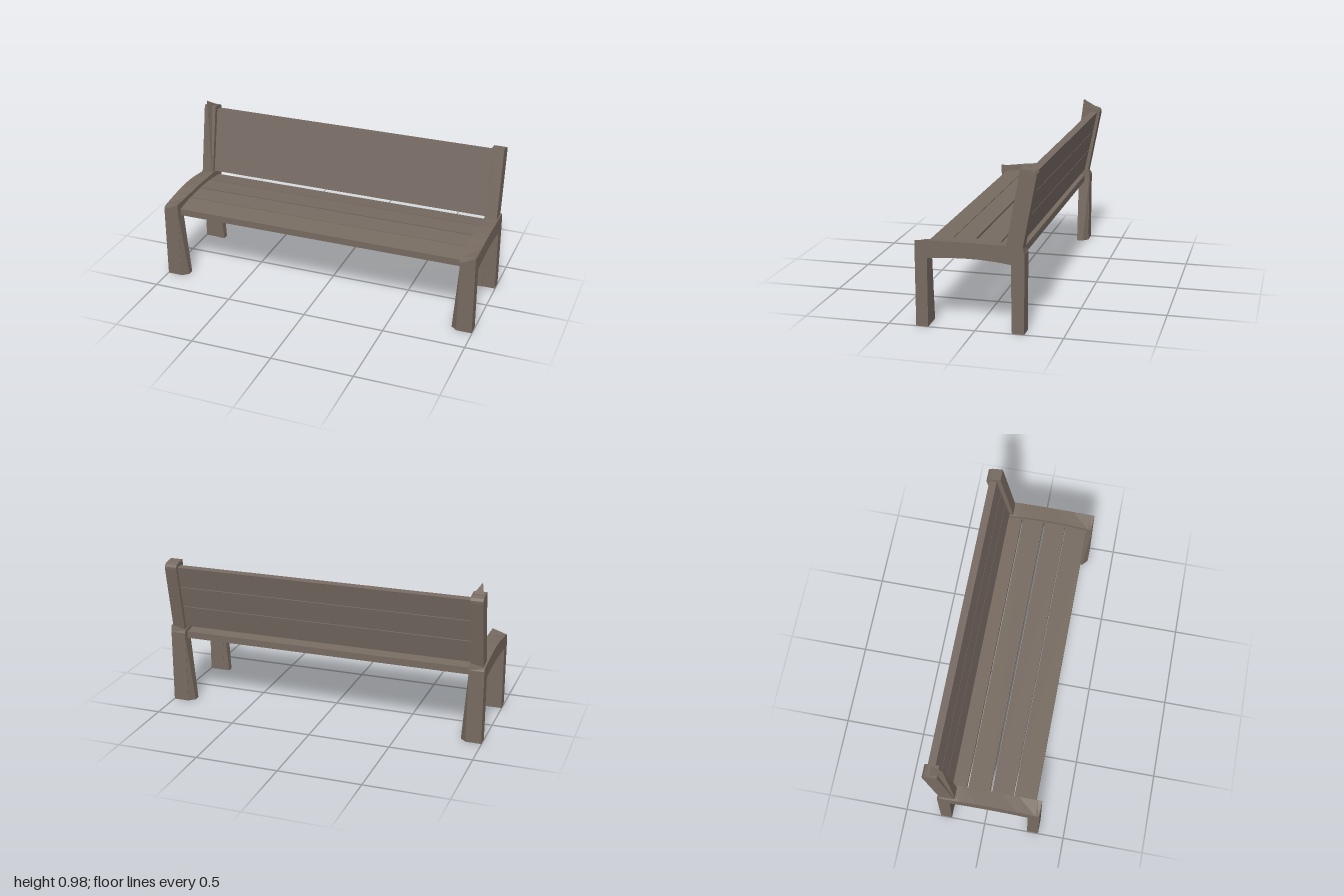
import * as THREE from 'three';
import { ConvexGeometry } from 'three/addons/geometries/ConvexGeometry.js';

const frameMat = new THREE.MeshStandardMaterial({ color: 0x776b61 });
frameMat.name = 'frame brown';
const backMat = new THREE.MeshStandardMaterial({ color: 0x776a63 });
backMat.name = 'backrest brown';

const V = (x, y, z) => new THREE.Vector3(x, y, z);

function addMesh(group, name, geometry, material = frameMat) {
  const mesh = new THREE.Mesh(geometry, material);
  mesh.name = name;
  group.add(mesh);
}

// Convex bar: a [z, y] profile stretched between two x positions
const bar = (profile, x0, x1) =>
  new ConvexGeometry(profile.flatMap(([z, y]) => [V(x0, y, z), V(x1, y, z)]));

// Arched end frame: two legs and a curved armless rail, drawn in z and y
function endFrameGeometry(side) {
  const s = new THREE.Shape();
  s.moveTo(0.34, 0);
  s.lineTo(0.34, 0.455);
  s.lineTo(0.333, 0.47);
  s.lineTo(0.315, 0.477);
  for (const [z, y] of [[0.2, 0.492], [0.1, 0.502], [0.04, 0.504], [-0.04, 0.501], [-0.14, 0.49]]) s.lineTo(z, y);
  s.lineTo(-0.255, 0.476);
  s.lineTo(-0.272, 0.47);
  s.lineTo(-0.28, 0.455);
  s.lineTo(-0.28, 0);
  s.lineTo(-0.21, 0);
  s.lineTo(-0.205, 0.395);
  for (const [z, y] of [[-0.12, 0.405], [-0.03, 0.411], [0.04, 0.412], [0.12, 0.41], [0.2, 0.405]]) s.lineTo(z, y);
  s.lineTo(0.27, 0.398);
  s.lineTo(0.27, 0);
  const g = new THREE.ExtrudeGeometry(s, { depth: 0.093, bevelEnabled: false });
  g.rotateY(-Math.PI / 2).translate(side > 0 ? 0.998 : -0.905, 0, 0);
  // Left rail keeps a raised, squarer outer edge; right rail a raised inner edge
  const p = g.attributes.position;
  for (let i = 0; i < p.count; i++) {
    const raised = side > 0 ? p.getX(i) > 0.95 : p.getX(i) > -0.95;
    if (raised && p.getY(i) > 0.468) {
      p.setY(i, Math.max(p.getY(i), 0.498));
      if (p.getZ(i) > 0.33) p.setZ(i, 0.34);
    }
  }
  g.computeVertexNormals();
  return g;
}

// Wedge that widens the inside of a leg toward the floor
function legFlare(side, zOuter, zInner) {
  const zMid = zOuter + (zInner - zOuter) * 0.45;
  return new ConvexGeometry([
    V(side * 0.92, 0, zOuter), V(side * 0.902, 0, zOuter),
    V(side * 0.867, 0, zMid), V(side * 0.867, 0, zInner), V(side * 0.92, 0, zInner),
    V(side * 0.92, 0.43, zOuter), V(side * 0.905, 0.43, zOuter),
    V(side * 0.905, 0.43, zInner), V(side * 0.92, 0.43, zInner),
  ]);
}

export function createModel() {
  const bench = new THREE.Group();
  bench.name = 'bench';

  for (const side of [1, -1]) {
    const end = new THREE.Group();
    end.name = side > 0 ? 'leftEnd' : 'rightEnd';
    bench.add(end);
    addMesh(end, 'endFrame', endFrameGeometry(side));
    addMesh(end, 'frontLegFlare', legFlare(side, 0.338, 0.271));
    addMesh(end, 'rearLegFlare', legFlare(side, -0.278, -0.207));

    // Leaning backrest post with a rounded rear top
    const post = [
      [-0.172, 0.47], [-0.255, 0.93], [-0.315, 0.922],
      [-0.334, 0.914], [-0.343, 0.9], [-0.342, 0.885], [-0.265, 0.47],
    ];
    addMesh(end, 'backPost', bar(post, side * 0.912, side * 0.988));
  }

  // Pointed ridge along the front of the right post
  addMesh(bench, 'postSpike', new ConvexGeometry([
    V(-0.955, 0.975, -0.225),
    V(-0.982, 0.48, -0.171), V(-0.918, 0.48, -0.171),
    V(-0.98, 0.926, -0.3), V(-0.92, 0.926, -0.3),
    V(-0.95, 0.5, -0.25),
  ]));

  // Seat planks following a gentle crown
  const seatTop = z => 0.48 - 0.024 * ((z - 0.03) / 0.275) ** 2;
  for (const [z0, z1] of [[0.305, 0.171], [0.166, 0.036], [0.024, -0.109], [-0.117, -0.245]]) {
    addMesh(bench, 'seatPlank', bar([
      [z0, seatTop(z0)], [z1, seatTop(z1)],
      [z1, seatTop(z1) - 0.042], [z0, seatTop(z0) - 0.042],
    ], -0.91, 0.91));
  }

  // Backrest planks on the same lean as the posts
  const backFront = y => -0.2 - (y - 0.5) * 0.2;
  for (const [y0, y1] of [[0.498, 0.633], [0.637, 0.766], [0.77, 0.9]]) {
    addMesh(bench, 'backPlank', bar([
      [backFront(y0), y0], [backFront(y1), y1],
      [backFront(y1) - 0.045, y1 - 0.004], [backFront(y0) - 0.045, y0 - 0.004],
    ], -0.915, 0.915), backMat);
  }

  return bench;
}
